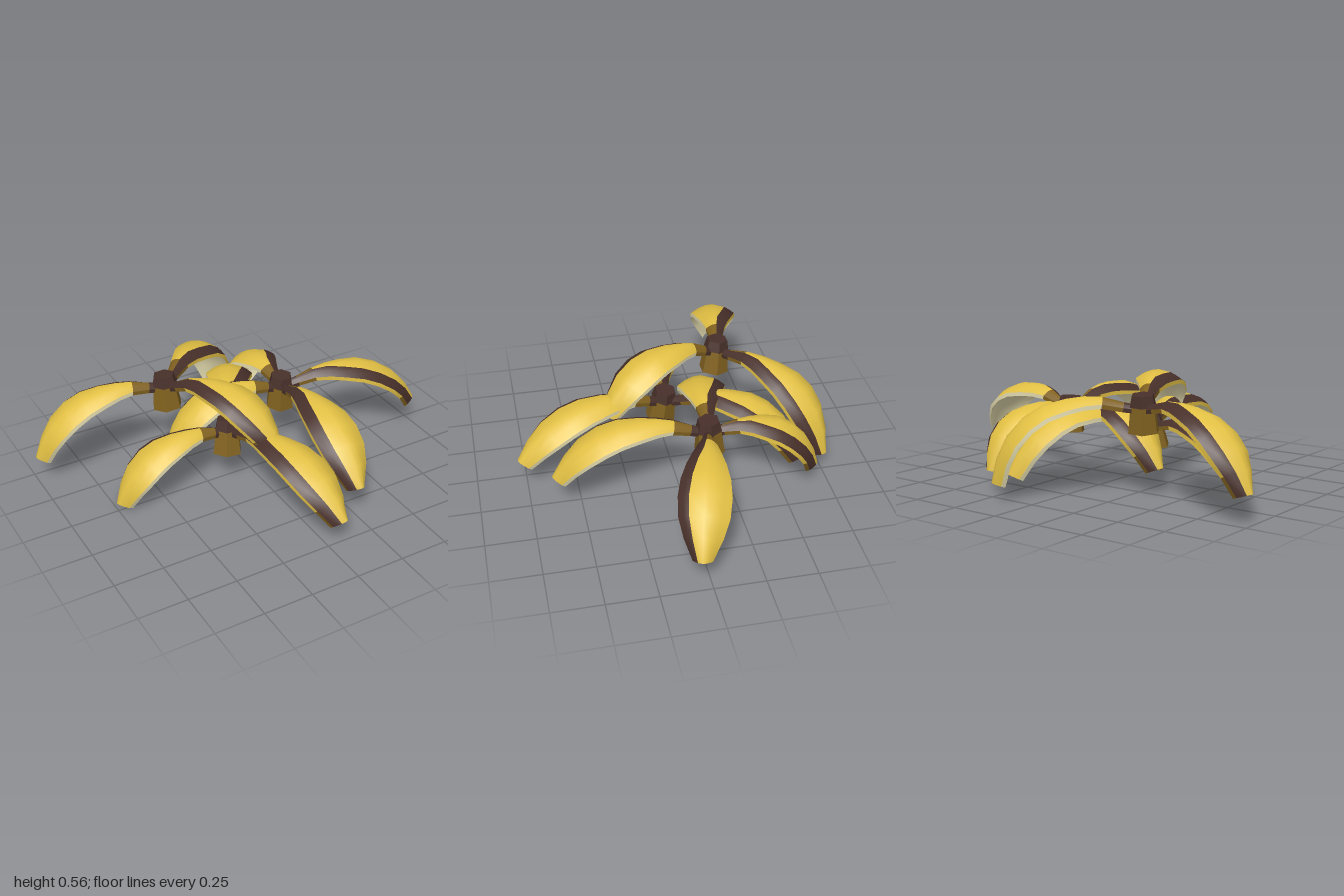
import * as THREE from 'three';

const mat = (name, color, side = THREE.FrontSide) => {
  const m = new THREE.MeshStandardMaterial({ color, side });
  m.name = name;
  return m;
};

// Strip cross-sections: distance along, ridge height, half width, arch depth, band width
const SECTIONS = [
  [0.00, -0.02, 0.020, 0.020, 0.055],
  [0.08, -0.005, 0.028, 0.024, 0.055],
  [0.17, 0.018, 0.048, 0.030, 0.055],
  [0.25, 0.021, 0.070, 0.036, 0.055],
  [0.33, 0.012, 0.094, 0.042, 0.055],
  [0.43, -0.012, 0.116, 0.048, 0.055],
  [0.52, -0.060, 0.125, 0.053, 0.053],
  [0.60, -0.135, 0.118, 0.055, 0.050],
  [0.655, -0.225, 0.090, 0.053, 0.042],
  [0.69, -0.325, 0.046, 0.050, 0.025],
];
const BASE = { len: Math.hypot(0.69, 0.325), angle: Math.atan2(-0.325, 0.69) };
const THICK = 0.02;

// Each cluster: hub position, hub lean, and strips as [heading in degrees, reach, drop, bow]
const CLUSTERS = [
  { name: 'highPeel', at: [-0.32, 0.47, -0.32], lean: [-0.1, 0.04],
    strips: [[191, 0.69, 0.325, 1], [-39.5, 0.715, 0.385, 1.13], [65, 0.73, 0.15, 1.05]] },
  { name: 'sidePeel', at: [0.27, 0.385, -0.14], lean: [0.05, 0],
    strips: [[15, 0.755, 0.215, 0.95], [91, 0.78, 0.205, 0.95], [188, 0.645, 0.25, 1], [-84, 0.56, 0.27, 1.1]] },
  { name: 'lowPeel', at: [-0.13, 0.32, 0.0], lean: [-0.15, -0.1],
    strips: [[183, 0.615, 0.29, 1], [76, 0.815, 0.165, 0.87], [-60, 0.75, 0.22, 1.1]] },
];

// Points of the outer and inner skins for one strip bent to its reach and drop
function stripRings(reach, drop, bow) {
  const k = Math.hypot(reach, drop) / BASE.len;
  const origin = new THREE.Vector2();
  const ridge = SECTIONS.map(([x, y]) => {
    const p = new THREE.Vector2(x, y).rotateAround(origin, -BASE.angle);
    return p.set(p.x * k, p.y * k * bow).rotateAround(origin, Math.atan2(-drop, reach));
  });
  return SECTIONS.map(([, , w, d, band], i) => {
    const p = ridge[i];
    const t = ridge[Math.min(i + 1, ridge.length - 1)].clone().sub(ridge[Math.max(i - 1, 0)]).normalize();
    const edge = Math.max(0.12, 1 - band / w);
    const us = [-1, -0.66, -0.33, 0, edge, (1 + edge) / 2, 1];
    const row = (thick) => us.map((u) => {
      const off = -d * u * u - thick;
      return [p.x - t.y * off, p.y + t.x * off, w * u];
    });
    return { outer: row(0), inner: row(THICK) };
  });
}

// Skin over rows of points; pick(i, j) gives the material index of a cell
function skin(rows, flip, pick) {
  const n = rows[0].length, buckets = [[], [], []];
  for (let i = 0; i < rows.length - 1; i++) {
    for (let j = 0; j < n - 1; j++) {
      const a = i * n + j, b = a + 1, c = a + n, d = c + 1;
      buckets[pick(i, j)].push(...(flip ? [a, c, b, b, c, d] : [a, b, c, b, d, c]));
    }
  }
  const g = new THREE.BufferGeometry();
  g.setAttribute('position', new THREE.Float32BufferAttribute(rows.flat(2), 3));
  g.setIndex(buckets.flat());
  let start = 0;
  buckets.forEach((list, m) => {
    if (list.length) g.addGroup(start, list.length, m);
    start += list.length;
  });
  g.computeVertexNormals();
  return g;
}

export function createModel() {
  const yellow = mat('peelYellow', 0xe2c044);
  const dark = mat('darkBrown', 0x48302a);
  const olive = mat('oliveBrown', 0x80611f);
  const cream = mat('innerCream', 0xe6ddb0);
  const oliveEnd = mat('oliveBrownEnd', 0x80611f, THREE.DoubleSide);
  const model = new THREE.Group();
  model.name = 'bananaPeels';

  const add = (parent, name, geometry, material) => {
    const m = new THREE.Mesh(geometry, material);
    m.name = name;
    parent.add(m);
    return m;
  };

  for (const { name, at, lean, strips } of CLUSTERS) {
    const cluster = new THREE.Group();
    cluster.name = name;
    cluster.position.set(...at);
    model.add(cluster);

    // Faceted stem and its dark cap
    const hub = new THREE.Group();
    hub.name = 'hub';
    hub.rotation.set(lean[0], 0, lean[1]);
    cluster.add(hub);
    const facet = (rt, rb, h) => {
      const g = new THREE.CylinderGeometry(rt, rb, h, 6).rotateY(Math.PI / 6).toNonIndexed();
      g.computeVertexNormals();
      return g;
    };
    add(hub, 'stem', facet(0.064, 0.079, 0.13), olive).position.y = -0.085;
    add(hub, 'stemCap', facet(0.056, 0.068, 0.055), dark).position.y = 0.003;

    // Drooping strips with a dark band along their right edge
    for (const [heading, reach, drop, bow] of strips) {
      const strip = new THREE.Group();
      strip.name = 'peelStrip';
      strip.rotation.y = -THREE.MathUtils.degToRad(heading);
      cluster.add(strip);
      const rings = stripRings(reach, drop, bow);
      const outer = rings.map((r) => r.outer), inner = rings.map((r) => r.inner);
      const rim = (j) => rings.map((r) => [r.outer.at(j), r.inner.at(j)]);
      const rootColour = (i) => (i === 0 ? 1 : i === 1 ? 2 : 0);
      const last = SECTIONS.length - 2;
      add(strip, 'outerSkin',
        skin(outer, false, (i, j) => (j >= 4 ? 1 : rootColour(i))), [yellow, dark, olive]);
      add(strip, 'innerSkin', skin(inner, true, () => 0), [cream]);
      add(strip, 'leftRim', skin(rim(0), true, rootColour), [cream, dark, olive]);
      add(strip, 'rightRim',
        skin(rim(-1), false, (i) => (i === last ? 2 : rootColour(i))), [yellow, dark, olive]);
      add(strip, 'tipEnd', skin([outer.at(-1), inner.at(-1)], false, () => 0), [oliveEnd]);
    }
  }

  // Rest the lowest tip on the ground
  model.updateMatrixWorld(true);
  const low = new THREE.Box3().setFromObject(model, true).min.y;
  for (const child of model.children) child.position.y -= low;
  return model;
}
